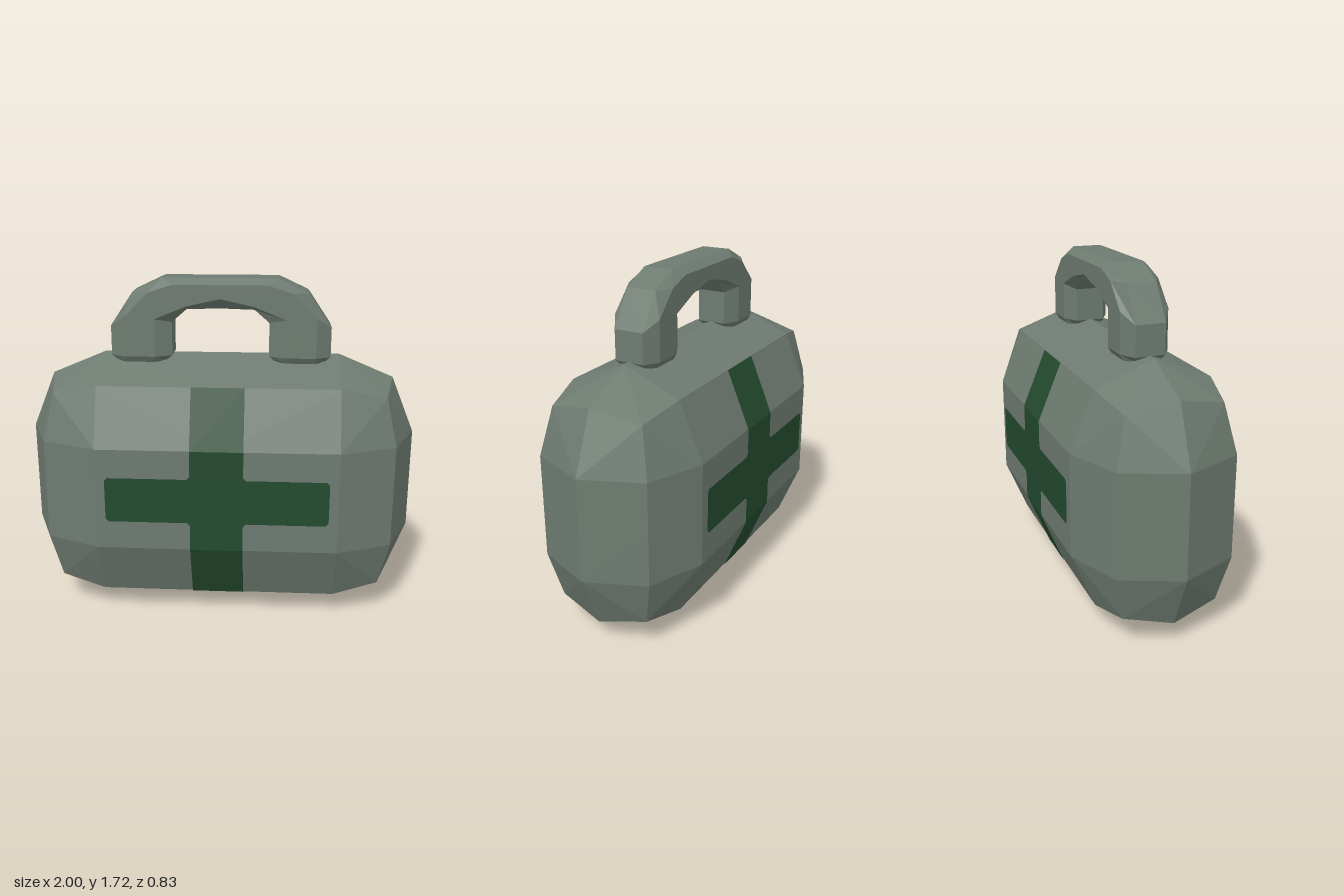
import * as THREE from 'three';

const shell = new THREE.MeshStandardMaterial({ color: 0x6e7b71 });
shell.name = 'greyGreen';
const green = new THREE.MeshStandardMaterial({ color: 0x234a2f });
green.name = 'darkGreen';

const MID = 0.667; // height of the body centre

// Facetted geometry from a list of convex polygons
function facets(polygons) {
  const pos = [];
  for (const p of polygons)
    for (let i = 1; i < p.length - 1; i++) pos.push(...p[0], ...p[i], ...p[i + 1]);
  const g = new THREE.BufferGeometry();
  g.setAttribute('position', new THREE.Float32BufferAttribute(pos, 3));
  g.computeVertexNormals();
  return g;
}

function addMesh(parent, geometry, material, name) {
  const mesh = new THREE.Mesh(geometry, material);
  mesh.name = name;
  parent.add(mesh);
  return mesh;
}

// One octant of the bevelled case, mirrored eight ways
function bodyGeometry() {
  const front = [0.6, 0.26, 0.41], top = [0.6, MID, 0], side = [1, 0.26, 0];
  const frontTop = [0.6, 0.55, 0.29], frontSide = [0.88, 0.26, 0.29];
  const topSide = [0.88, 0.55, 0], corner = [0.83, 0.5, 0.24];
  const octant = [
    [[0, 0, 0.41], [0.6, 0, 0.41], front, [0, 0.26, 0.41]],
    [[0, 0.26, 0.41], front, frontTop, [0, 0.55, 0.29]],
    [[0.6, 0, 0.41], [0.88, 0, 0.29], frontSide, front],
    [front, frontSide, corner, frontTop],
    [[0, 0.55, 0.29], frontTop, top, [0, MID, 0]],
    [top, frontTop, corner, topSide],
    [[0.88, 0, 0.29], [1, 0, 0], side, frontSide],
    [side, topSide, corner, frontSide],
  ];
  const faces = [];
  for (const sx of [1, -1]) for (const sy of [1, -1]) for (const sz of [1, -1])
    for (const face of octant) {
      const f = face.map(([x, y, z]) => [x * sx, y * sy, z * sz]);
      // keep the first corner first so the diagonal stays convex
      faces.push(sx * sy * sz > 0 ? f : [f[0], ...f.slice(1).reverse()]);
    }
  return facets(faces);
}

// Octagonal section swept along the arch; each row holds the outer,
// front-outer, front-inner and inner points as x, y
function handleGeometry() {
  const half = [
    [[0.52, 1.30], [0.48, 1.30], [0.33, 1.30], [0.28, 1.30]],
    [[0.555, 1.33], [0.48, 1.33], [0.33, 1.33], [0.245, 1.33]],
    [[0.555, 1.48], [0.48, 1.53], [0.33, 1.52], [0.245, 1.5]],
    [[0.44, 1.65], [0.36, 1.65], [0.17, 1.585], [0.17, 1.565]],
    [[0.29, 1.72], [0.24, 1.69], [0.01, 1.62], [0.01, 1.57]],
  ];
  const mirrored = half.map(row => row.map(([x, y]) => [-x, y])).reverse();
  const rows = [...half, ...mirrored];
  const last = rows.length - 1;
  const loops = rows.map((row, i) => {
    const k = i === 0 || i === last ? 0.85 : 1;
    const depth = [0.075, 0.12, 0.12, 0.075];
    const near = row.map(([x, y], j) => [x, y, depth[j] * k]);
    return [...near, ...near.map(([x, y, z]) => [x, y, -z]).reverse()];
  });
  const faces = [loops[0], [...loops[last]].reverse()];
  for (let i = 0; i < last; i++)
    for (let j = 0; j < 8; j++) {
      const n = (j + 1) % 8;
      faces.push([loops[i][j], loops[i + 1][j], loops[i + 1][n], loops[i][n]]);
    }
  return facets(faces);
}

// Cross on one face: flat centre with soft arm ends, bent strip above and below
function makeCross(name) {
  const cross = new THREE.Group();
  cross.name = name;
  const w = 0.132, a = 0.555, h = 0.115, b = 0.26, r = 0.015, lift = 0.004;
  const z = 0.41 + lift;
  const quarter = [[w, b], [w, h + r], [w + r, h], [a - r, h], [a, h - r]];
  const flip = (pts, sx, sy) => pts.map(([x, y]) => new THREE.Vector2(x * sx, y * sy));
  const outline = [
    ...flip(quarter, 1, 1), ...flip([...quarter].reverse(), 1, -1),
    ...flip(quarter, -1, -1), ...flip([...quarter].reverse(), -1, 1),
  ];
  const flat = addMesh(cross, new THREE.ShapeGeometry(new THREE.Shape(outline)), green, 'crossCentre');
  flat.position.z = z;
  const e = 0.551, ez = 0.29 + lift;
  addMesh(cross, facets([
    [[-w, b, z], [w, b, z], [w, e, ez], [-w, e, ez]],
    [[-w, -e, ez], [w, -e, ez], [w, -b, z], [-w, -b, z]],
  ]), green, 'crossEnds');
  cross.position.y = MID;
  return cross;
}

export function createModel() {
  const model = new THREE.Group();
  model.name = 'medicalCase';
  addMesh(model, bodyGeometry(), shell, 'body').position.y = MID;
  addMesh(model, handleGeometry(), shell, 'handle');
  const backCross = makeCross('backCross');
  backCross.rotation.y = Math.PI;
  model.add(makeCross('frontCross'), backCross);
  return model;
}
